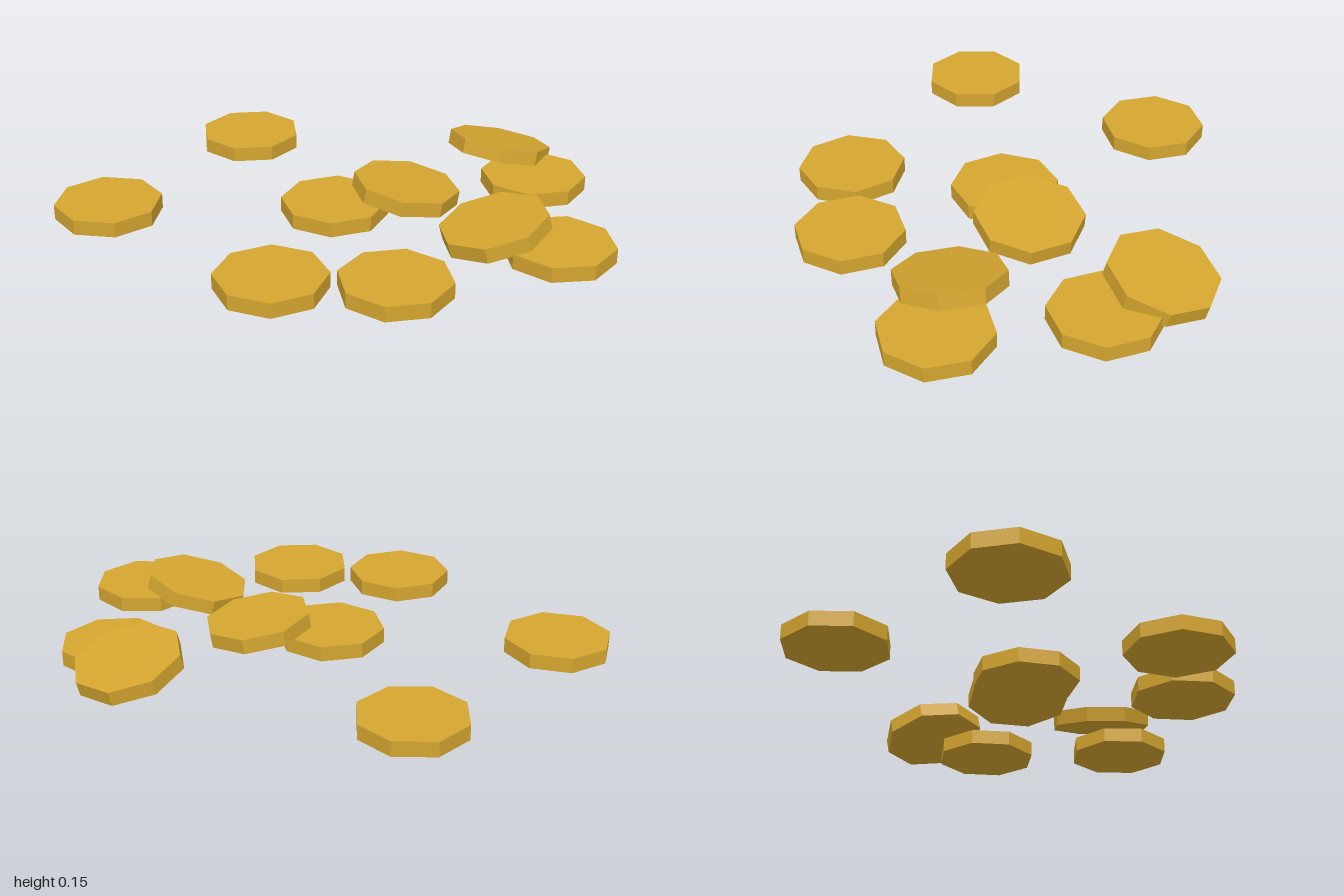
import * as THREE from 'three';

const RADIUS = 0.197;
const THICKNESS = 0.056;
const SIDES = 8;

// Coins lying flat: [x, z, spin in degrees]
const FLAT = [
  [-0.815, 0.082, 26.8],
  [-0.374, -0.591, 12.5],
  [0.01, 0.02, 0],
  [-0.163, 0.582, 39.5],
  [0.249, 0.58, 8.7],
  [0.807, 0.296, 12.5],
  [0.751, -0.255, 7],
];

// Coins leaning on others: [x, y, z, spin in degrees, slope along x, slope along z]
const LEANING = [
  [0.269, 0.074, -0.048, 3.1, -0.148, 0.04],
  [0.63, 0.077, -0.457, 2.4, -0.158, 0.206],
  [0.585, 0.077, 0.242, 11, 0.25, -0.03],
];

export function createModel() {
  const model = new THREE.Group();
  model.name = 'scatteredCoins';

  const gold = new THREE.MeshStandardMaterial({ color: 0xd4a52f, flatShading: true });
  gold.name = 'gold';
  const disc = new THREE.CylinderGeometry(RADIUS, RADIUS, THICKNESS, SIDES);
  const up = new THREE.Vector3(0, 1, 0);

  function addCoin(name, x, y, z, spin, slopeX = 0, slopeZ = 0) {
    const coin = new THREE.Mesh(disc, gold);
    coin.name = name;
    coin.position.set(x, y, z);
    // Tilt the face to the slope, after spinning the coin about its own axis
    const normal = new THREE.Vector3(-slopeX, 1, -slopeZ).normalize();
    const turn = new THREE.Quaternion().setFromAxisAngle(up, -THREE.MathUtils.degToRad(spin));
    coin.quaternion.setFromUnitVectors(up, normal).multiply(turn);
    model.add(coin);
  }

  FLAT.forEach(([x, z, spin], i) => addCoin(`flatCoin${i + 1}`, x, THICKNESS / 2, z, spin));
  LEANING.forEach((c, i) => addCoin(`leaningCoin${i + 1}`, ...c));

  return model;
}
